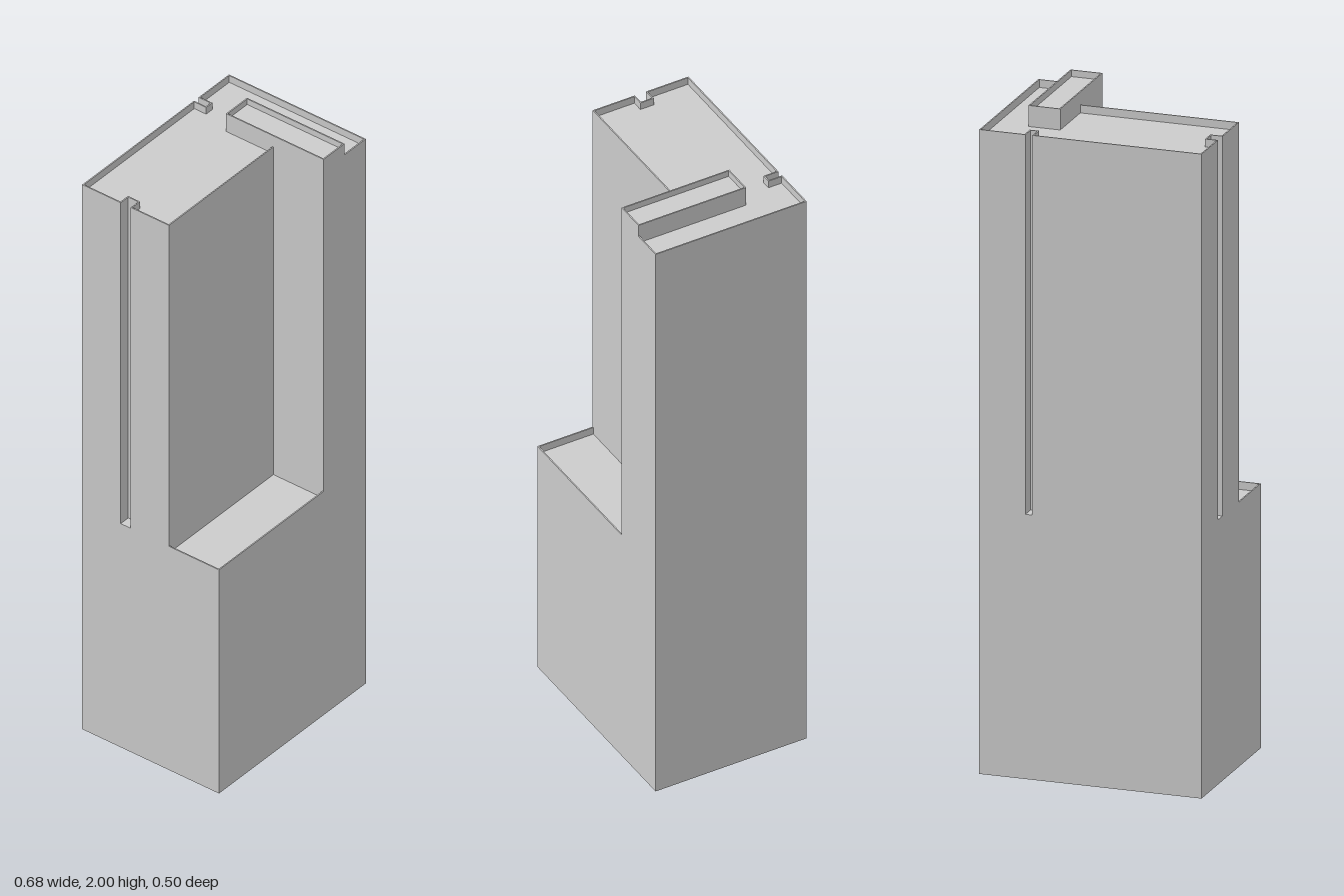
import * as THREE from 'three';

// Plan paths are [x, z] points, walked with the inside of the building on the right.
const RIM = 0.004;   // parapet thickness
const STEP = 0.805;  // terrace height
const ROOF = 1.96;   // main roof height
const TOP = 2;       // roof box height
const DROP = 0.024;  // depth of the roofs below their parapets

export function createModel() {
  const group = new THREE.Group();
  const material = new THREE.MeshStandardMaterial({ color: 0xcccccc, side: THREE.DoubleSide });

  const add = (name, geometry) => {
    const mesh = new THREE.Mesh(geometry, material);
    mesh.name = name;
    group.add(mesh);
  };

  // Upright walls along a path
  const walls = (name, path, y0, y1) => {
    const pos = [];
    for (let i = 0; i + 1 < path.length; i++) {
      const [ax, az] = path[i], [bx, bz] = path[i + 1];
      pos.push(bx, y0, bz, ax, y0, az, ax, y1, az);
      pos.push(bx, y0, bz, ax, y1, az, bx, y1, bz);
    }
    const g = new THREE.BufferGeometry();
    g.setAttribute('position', new THREE.Float32BufferAttribute(pos, 3));
    g.computeVertexNormals();
    add(name, g);
  };

  // Level sheet filling a plan polygon
  const sheet = (name, points, y, facing = 1) => {
    const shape = new THREE.Shape(points.map(([x, z]) => new THREE.Vector2(x, -z * facing)));
    add(name, new THREE.ShapeGeometry(shape).rotateX(-facing * Math.PI / 2).translate(0, y, 0));
  };

  // Right-angled path moved inward by the parapet thickness
  const inset = (path) => {
    const last = path.length - 1;
    const closed = path[0][0] === path[last][0] && path[0][1] === path[last][1];
    const normal = (i) => {
      if (closed) i = (i + last) % last;
      if (i < 0 || i >= last) return [0, 0];
      const dx = path[i + 1][0] - path[i][0], dz = path[i + 1][1] - path[i][1];
      return [-Math.sign(dz), Math.sign(dx)];
    };
    return path.map(([x, z], i) => {
      const a = normal(i - 1), b = normal(i);
      return [x + RIM * (a[0] + b[0]), z + RIM * (a[1] + b[1])];
    });
  };

  // Parapet along a path with a sunken roof behind it
  const sunkenRoof = (name, path, y, depth, extra = []) => {
    const inner = inset(path);
    const back = [...inner].reverse();
    sheet(name + 'ParapetTop', [...path, ...back], y);
    walls(name + 'ParapetInside', back, y - depth, y);
    sheet(name + 'Roof', [...inner, ...extra], y - depth);
  };

  const L = -0.342, R = 0.342, B = -0.253, F = 0.252;
  const px = 0.145, pz = 0.067;       // inner corner of the terrace
  const boxR = 0.243, boxB = -0.108;  // roof box

  // Base, open below except under the terrace
  walls('baseWalls', [[R, F], [L, F], [L, B], [R, B], [R, F]], 0, STEP);
  sheet('terraceUnderside', [[L, pz], [px, pz], [px, F], [L, F]], 0, -1);

  // Terrace
  sunkenRoof('terrace', [[px, F], [L, F], [L, pz]], STEP, DROP, [[px, pz]]);
  walls('towerFoot', [[px, F], [px, pz], [L, pz]], STEP - DROP, STEP);

  // Tower with a narrow slot in its left-hand and rear walls
  const sideSlot = [[L, -0.074], [-0.307, -0.074], [-0.307, -0.111], [L, -0.111]];
  const rearSlot = [[0.179, B], [0.179, -0.209], [0.2, -0.209], [0.2, B]];
  const outline = [[px, pz], [L, pz], ...sideSlot, [L, B], ...rearSlot, [R, B], [R, F], [boxR, F]];
  walls('towerWalls', [...outline, [px, F], [px, pz]], STEP, ROOF);
  sunkenRoof('tower', outline, ROOF, DROP, [[px, F - RIM], [px, pz]]);
  sheet('sideSlotFloor', sideSlot, STEP);
  sheet('rearSlotFloor', rearSlot, STEP);

  // Long box on the roof, flush with the front
  const box = [[px, F], [px, boxB], [boxR, boxB], [boxR, F], [px, F]];
  walls('roofBoxWalls', box, ROOF, TOP);
  walls('roofBoxFoot', [[px, pz], [px, boxB], [boxR, boxB], [boxR, F]], ROOF - DROP, ROOF);
  sunkenRoof('roofBox', box, TOP, 0.02);

  return group;
}
